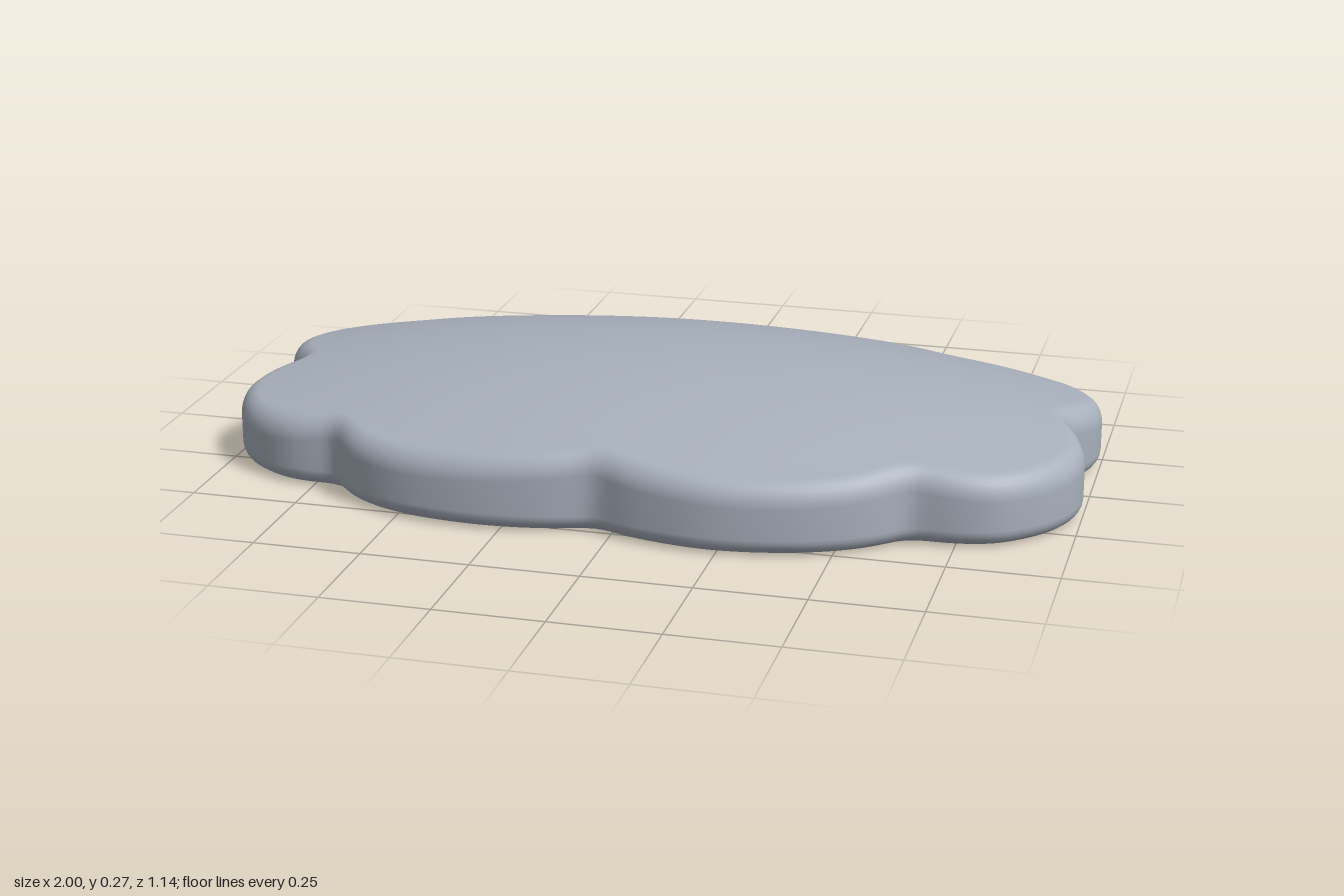
import * as THREE from 'three';

// Cloud outline (x, z): each lobe runs from one notch to the next
const lobes = [
  [[-0.72, -0.4], [-0.66, -0.475], [-0.54, -0.533], [-0.36, -0.555], [-0.2, -0.54], [-0.1, -0.515]],
  [[-0.1, -0.515], [0.02, -0.552], [0.2, -0.572], [0.38, -0.55], [0.52, -0.495], [0.6, -0.435]],
  [[0.6, -0.435], [0.74, -0.43], [0.89, -0.37], [0.98, -0.28], [1.0, -0.19], [0.975, -0.1], [0.93, -0.04]],
  [[0.93, -0.04], [0.975, 0.03], [1.0, 0.14], [0.96, 0.26], [0.86, 0.36], [0.76, 0.393], [0.65, 0.395]],
  [[0.65, 0.395], [0.56, 0.475], [0.42, 0.538], [0.24, 0.567], [0.07, 0.545], [-0.04, 0.505]],
  [[-0.04, 0.505], [-0.16, 0.54], [-0.32, 0.553], [-0.49, 0.53], [-0.62, 0.47], [-0.69, 0.395]],
  [[-0.69, 0.395], [-0.82, 0.385], [-0.94, 0.31], [-1.0, 0.19], [-0.975, 0.08], [-0.92, 0.01]],
  [[-0.92, 0.01], [-0.975, -0.07], [-1.0, -0.17], [-0.96, -0.29], [-0.86, -0.375], [-0.72, -0.4]],
];

function cloudOutline() {
  let pts = [];
  for (const lobe of lobes) {
    const curve = new THREE.SplineCurve(lobe.map(([x, z]) => new THREE.Vector2(x, z)));
    pts.push(...curve.getSpacedPoints(32).slice(0, -1));
  }
  // soften the notches a little
  for (let pass = 0; pass < 2; pass++) {
    pts = pts.map((p, i) => {
      const a = pts.at(i - 1), b = pts[(i + 1) % pts.length];
      return new THREE.Vector2((a.x + 2 * p.x + b.x) / 4, (a.y + 2 * p.y + b.y) / 4);
    });
  }
  return pts;
}

// Gentle dome of the upper face
const domeHeight = (x, z) => Math.max(0.27 - 0.1 * x * x - 0.34 * z * z, 0.16);

function cushionGeometry() {
  const outline = cloudOutline(), n = outline.length;
  const normals = outline.map((p, i) => {
    const a = outline.at(i - 2), b = outline[(i + 2) % n];
    return new THREE.Vector2(b.y - a.y, a.x - b.x).normalize();
  });
  const inset = (d) => outline.map((p, i) => p.clone().addScaledVector(normals[i], -d));
  const rBottom = 0.04, rTop = 0.05, hTop = 0.06;
  const rings = [];

  // flat underside and rounded lower edge
  const base = inset(rBottom);
  for (const s of [0, 0.5, 0.97]) rings.push(base.map((p) => [p.x * s, 0, p.y * s]));
  for (let k = 0; k <= 6; k++) {
    const a = (k / 6) * Math.PI / 2;
    const y = rBottom * (1 - Math.cos(a));
    rings.push(inset(rBottom * (1 - Math.sin(a))).map((p) => [p.x, y, p.y]));
  }
  // rounded upper edge following the dome
  const rim = inset(rTop);
  for (let k = 0; k <= 7; k++) {
    const a = (k / 7) * Math.PI / 2;
    const ring = inset(rTop * (1 - Math.cos(a)));
    rings.push(ring.map((p, i) =>
      [p.x, domeHeight(rim[i].x, rim[i].y) - hTop * (1 - Math.sin(a)), p.y]));
  }
  // domed top
  for (let k = 1; k <= 16; k++) {
    const s = 1 - k / 16;
    rings.push(rim.map((p) => [p.x * s, domeHeight(p.x * s, p.y * s), p.y * s]));
  }

  const index = [];
  for (let k = 0; k < rings.length - 1; k++) {
    for (let i = 0; i < n; i++) {
      const j = (i + 1) % n;
      const a = k * n + i, b = k * n + j, c = a + n, d = b + n;
      if (k > 0) index.push(a, c, b);
      if (k === 0 || k < rings.length - 2) index.push(b, c, d);
    }
  }
  const geometry = new THREE.BufferGeometry();
  geometry.setAttribute('position', new THREE.Float32BufferAttribute(rings.flat(2), 3));
  geometry.setIndex(index);
  geometry.computeVertexNormals();
  return geometry;
}

export function createModel() {
  const group = new THREE.Group();
  group.name = 'cloud';
  const grey = new THREE.MeshStandardMaterial({ color: 0xa8b0bc });
  grey.name = 'pale blue grey';
  const body = new THREE.Mesh(cushionGeometry(), grey);
  body.name = 'cloudBody';
  group.add(body);
  return group;
}
